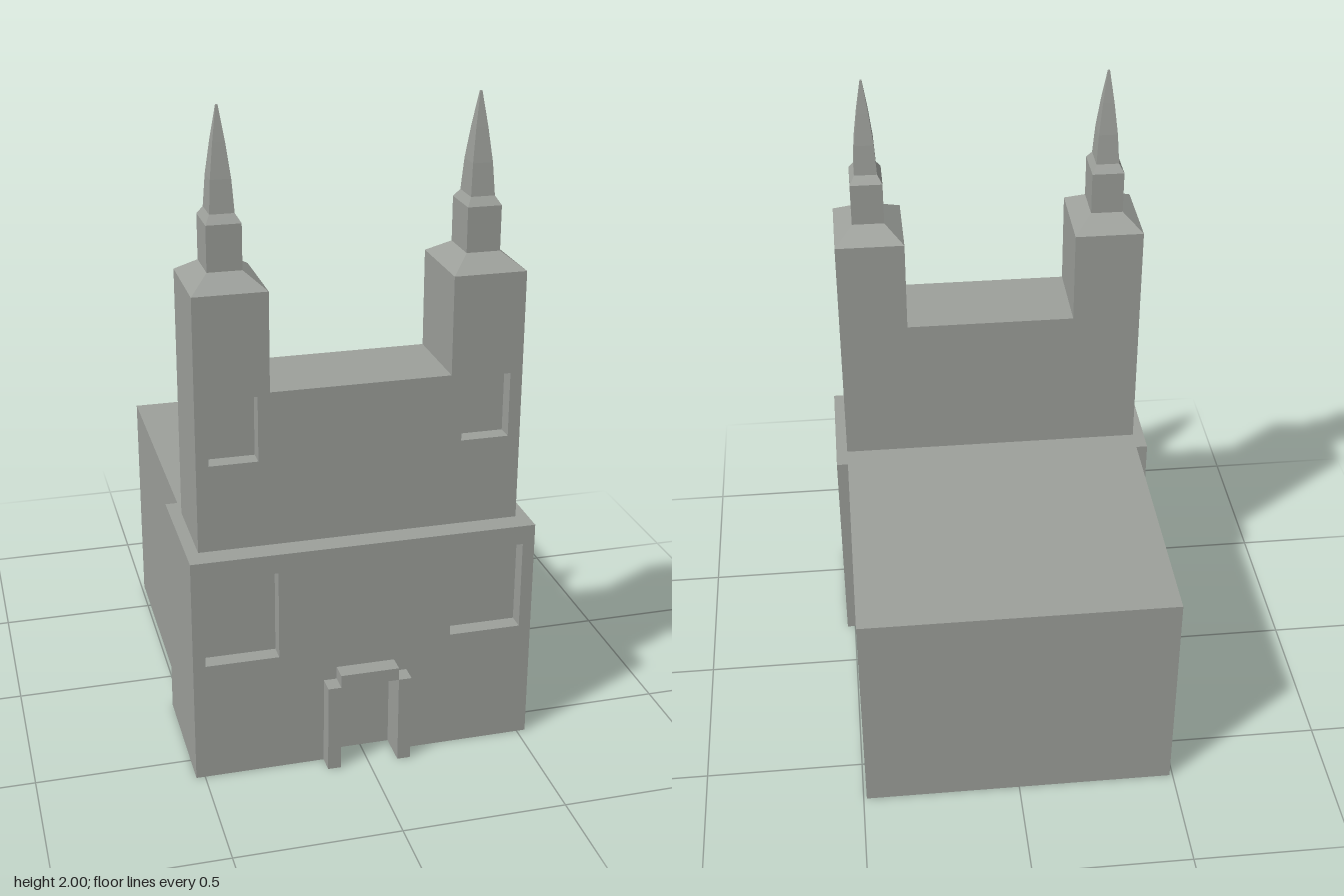
import * as THREE from 'three';

const stone = new THREE.MeshStandardMaterial({ color: 0x9c9f9a });
stone.name = 'grey stone';
stone.flatShading = true;

function add(group, name, geometry) {
  const mesh = new THREE.Mesh(geometry, stone);
  mesh.name = name;
  group.add(mesh);
  return mesh;
}

// box given by its limits on each axis
function block(x0, x1, y0, y1, z0, z1) {
  return new THREE.BoxGeometry(x1 - x0, y1 - y0, z1 - z0)
    .translate((x0 + x1) / 2, (y0 + y1) / 2, (z0 + z1) / 2);
}

const path = (points) => points.map(([x, y]) => new THREE.Vector2(x, y));

// outline with rectangular openings [x0, x1, y0, y1], extruded between two depths
function slab(outline, openings, z0, z1) {
  const shape = new THREE.Shape(path(outline));
  for (const [a, b, c, d] of openings) {
    shape.holes.push(new THREE.Path(path([[a, c], [a, d], [b, d], [b, c]])));
  }
  return new THREE.ExtrudeGeometry(shape, { depth: z1 - z0, bevelEnabled: false }).translate(0, 0, z0);
}

// stacked rectangular rings [y, halfX, halfZ], closed at the top
function steppedTower(rings) {
  const pos = [], idx = [];
  for (const [y, hx, hz] of rings) pos.push(-hx, y, hz, hx, y, hz, hx, y, -hz, -hx, y, -hz);
  for (let r = 0; r < rings.length - 1; r++) {
    for (let i = 0; i < 4; i++) {
      const a = r * 4 + i, b = r * 4 + (i + 1) % 4;
      idx.push(a, b, b + 4, a, b + 4, a + 4);
    }
  }
  const t = (rings.length - 1) * 4;
  idx.push(t, t + 1, t + 2, t, t + 2, t + 3);
  const g = new THREE.BufferGeometry();
  g.setAttribute('position', new THREE.Float32BufferAttribute(pos, 3));
  g.setIndex(idx);
  const flat = g.toNonIndexed();
  flat.computeVertexNormals();
  return flat;
}

// an opening on the right, together with its mirror image
const pair = (a, b, c, d) => [[a, b, c, d], [-b, -a, c, d]];

export function createModel() {
  const church = new THREE.Group();
  church.name = 'church';

  // long rear hall
  add(church, 'nave', block(-0.49, 0.49, 0, 0.72, -0.65, 0.18));

  // wide front block, with recessed windows and doorway
  add(church, 'frontBlock', block(-0.527, 0.527, 0, 0.72, 0.177, 0.545));
  const lowerOutline = [[-0.527, 0], [-0.09, 0], [-0.09, 0.28], [0.09, 0.28], [0.09, 0],
    [0.527, 0], [0.527, 0.72], [-0.527, 0.72]];
  add(church, 'lowerFacade', slab(lowerOutline, pair(0.267, 0.49, 0.38, 0.66), 0.545, 0.596));

  // upper storey joining the two towers
  const upperOutline = [[-0.49, 0.72], [0.49, 0.72], [0.49, 1.5], [0.271, 1.5],
    [0.271, 1.2], [-0.271, 1.2], [-0.271, 1.5], [-0.49, 1.5]];
  add(church, 'upperStorey', slab(upperOutline, [], 0.25, 0.475));
  add(church, 'upperFacade', slab(upperOutline, pair(0.307, 0.453, 0.99, 1.19), 0.475, 0.526));

  // door surround
  const porch = new THREE.Group();
  porch.name = 'doorSurround';
  for (const s of [-1, 1]) {
    add(porch, 'doorPost', block(-0.02, 0.02, 0, 0.28, 0.59, 0.65)).position.x = s * 0.11;
  }
  add(porch, 'doorLintel', block(-0.09, 0.09, 0.28, 0.32, 0.59, 0.65));
  church.add(porch);

  // tower roofs, belfries and spires
  const rings = [
    [1.5, 0.1095, 0.138], [1.545, 0.051, 0.067], [1.68, 0.051, 0.067],
    [1.705, 0.036, 0.047], [1.8, 0.03, 0.037], [1.9, 0.018, 0.021], [2, 0.003, 0.003],
  ];
  for (const s of [-1, 1]) {
    add(church, s > 0 ? 'leftSpire' : 'rightSpire', steppedTower(rings)).position.set(s * 0.3805, 0, 0.388);
  }
  return church;
}
